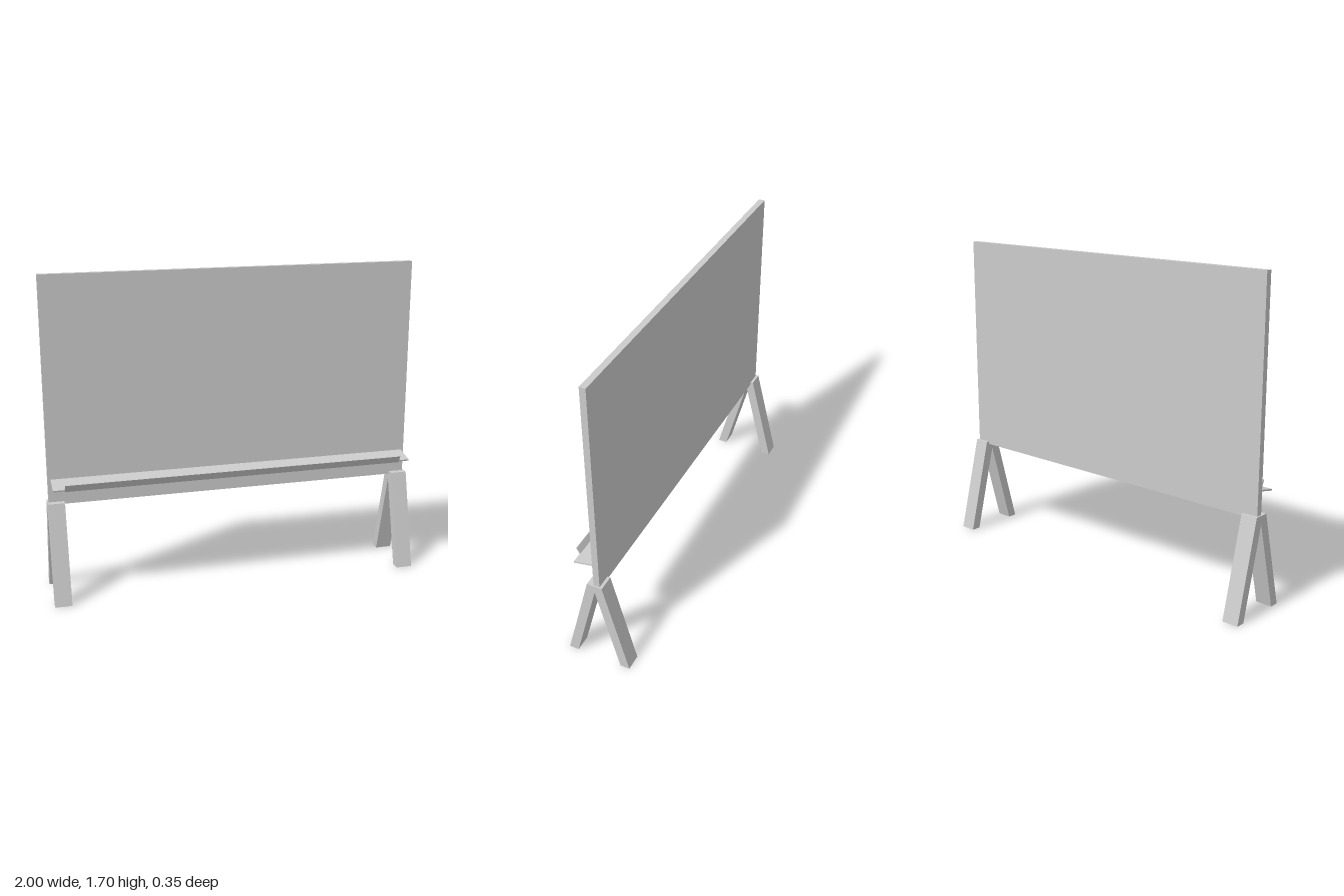
import * as THREE from 'three';

const material = new THREE.MeshStandardMaterial({ color: 0xcccccc, flatShading: true });

// Extrudes a side profile of [z, y] points across the width, centred on x
function profileMesh(name, points, width, x = 0) {
  const shape = new THREE.Shape(points.map(([z, y]) => new THREE.Vector2(-z, y)));
  const geometry = new THREE.ExtrudeGeometry(shape, { depth: width, bevelEnabled: false });
  geometry.translate(0, 0, -width / 2);
  geometry.rotateY(Math.PI / 2);
  const mesh = new THREE.Mesh(geometry, material);
  mesh.name = name;
  mesh.position.x = x;
  return mesh;
}

export function createModel() {
  const model = new THREE.Group();
  model.name = 'standingBoard';

  // Large upright panel
  const board = new THREE.Mesh(new THREE.BoxGeometry(1.985, 1.195, 0.033), material);
  board.name = 'board';
  board.position.set(0, 1.1025, -0.009);
  model.add(board);

  // Sloping tray with a narrower raised lip
  model.add(profileMesh('tray', [[0, 0.637], [0.118, 0.612], [0.12, 0.62], [0, 0.645]], 1.955));
  model.add(profileMesh('trayLip', [[0.118, 0.608], [0.14, 0.648], [0.135, 0.652], [0.112, 0.613]], 1.835));

  // Splayed A-shaped trestle at each end
  const trestle = [
    [0.174, 0], [0.041, 0.52], [-0.041, 0.52], [-0.174, 0],
    [-0.123, 0], [0, 0.477], [0.123, 0],
  ];
  for (const side of [-1, 1]) {
    model.add(profileMesh(side > 0 ? 'leftLegs' : 'rightLegs', trestle, 0.088, side * 0.956));
  }

  return model;
}
